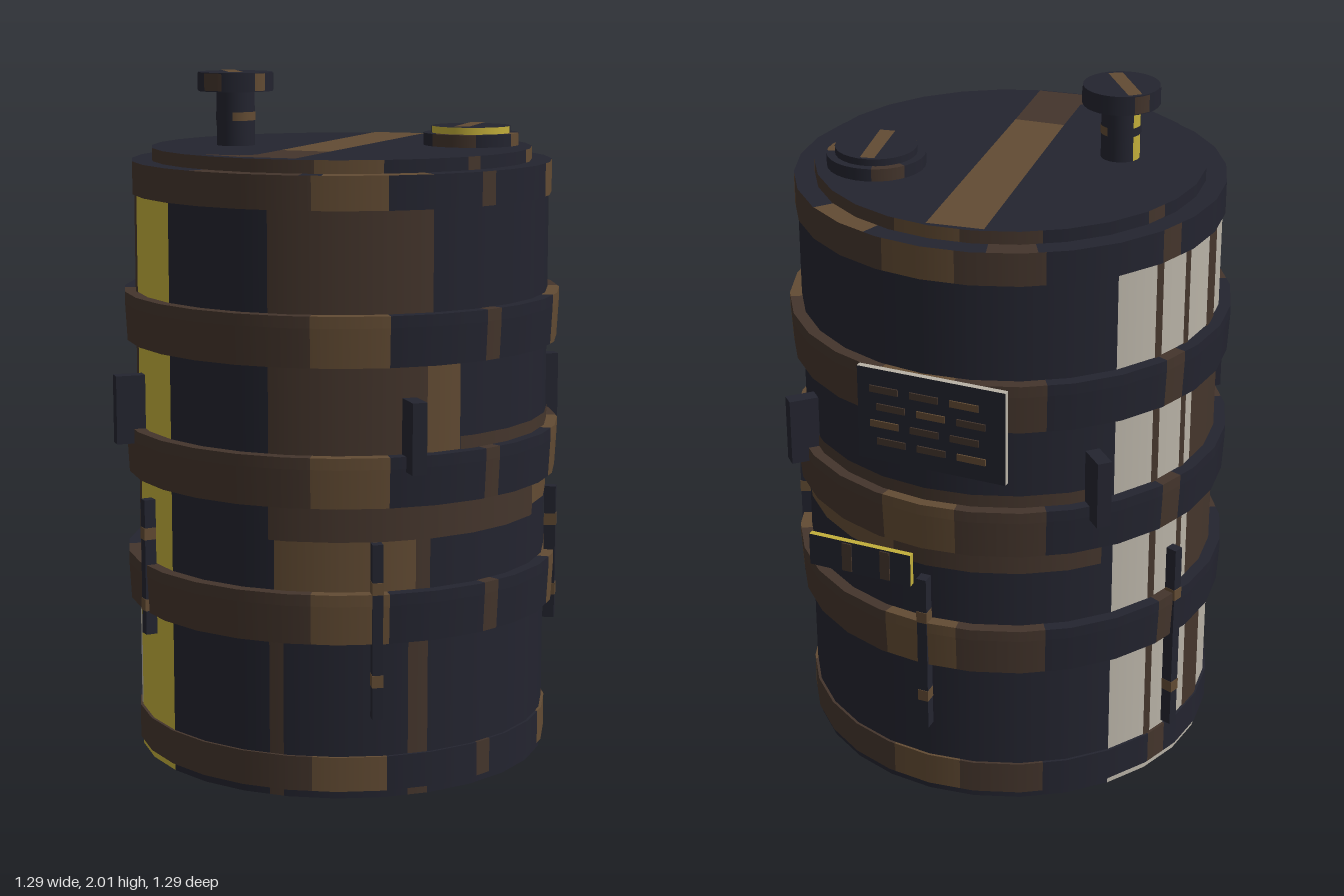
import * as THREE from 'three';

const mat = (name, color, side = THREE.FrontSide) => {
  const m = new THREE.MeshStandardMaterial({ color, side });
  m.name = name;
  return m;
};
const SIDES = 28;
const RAD = Math.PI / 180;

export function createModel() {
  const model = new THREE.Group();
  model.name = 'drum';
  const M = {
    navy: mat('navy', 0x23242f),
    brown: mat('darkBrown', 0x44352c),
    tan: mat('lightBrown', 0x624b33),
    yellow: mat('yellow', 0xc2ae3a),
    grey: mat('paleGrey', 0xb8b2a6),
  };

  // Sweep a (radius, height) profile round y between two headings (degrees from +z towards +x)
  function sweep(profile, a0, a1) {
    const step = 360 / SIDES, angles = [a0];
    for (let k = Math.floor(a0 / step) + 1; k * step < a1 - 1e-6; k++) angles.push(k * step);
    angles.push(a1);
    const pos = [], nor = [], idx = [];
    for (let s = 0; s + 1 < profile.length; s++) {
      const [r0, y0] = profile[s], [r1, y1] = profile[s + 1];
      const len = Math.hypot(r1 - r0, y1 - y0), nr = (y1 - y0) / len, ny = (r0 - r1) / len;
      const base = pos.length / 3;
      angles.forEach((a, i) => {
        const local = a - Math.floor(a / step + 1e-9) * step - step / 2;
        const k = Math.cos(step / 2 * RAD) / Math.cos(local * RAD);
        const sx = Math.sin(a * RAD), cz = Math.cos(a * RAD);
        pos.push(sx * r0 * k, y0, cz * r0 * k, sx * r1 * k, y1, cz * r1 * k);
        nor.push(sx * nr, ny, cz * nr, sx * nr, ny, cz * nr);
        if (i) {
          const p = base + 2 * (i - 1);
          idx.push(p, p + 2, p + 3, p, p + 3, p + 1);
        }
      });
    }
    const g = new THREE.BufferGeometry();
    g.setAttribute('position', new THREE.Float32BufferAttribute(pos, 3));
    g.setAttribute('normal', new THREE.Float32BufferAttribute(nor, 3));
    g.setIndex(idx);
    return g;
  }

  const add = (parent, name, geometry, material) => {
    const m = new THREE.Mesh(geometry, material);
    m.name = name;
    parent.add(m);
    return m;
  };

  // Full turn of a profile, coloured by [start heading, colour] entries
  function turn(name, profile, colours, x = 0, z = 0) {
    const g = new THREE.Group();
    g.name = name;
    g.position.set(x, 0, z);
    colours.forEach(([a, c], i) => {
      const end = i + 1 < colours.length ? colours[i + 1][0] : colours[0][0] + 360;
      add(g, name + 'Part', sweep(profile, a, end), M[c]);
    });
    model.add(g);
  }
  const patch = (c, y0, y1, a0, a1, r = 0.611) =>
    add(model, 'paintPatch', sweep([[r, y0], [r, y1]], a0, a1), M[c]);

  // Drum wall, one section between each pair of hoops
  const R = 0.608;
  const wall = (y0, y1, colours) => turn('wall', [[R, y0], [R, y1]], colours);
  wall(0, 0.5, [[-128.6, 'grey'], [-77, 'yellow'], [-25.7, 'navy'], [7.5, 'brown'], [11.5, 'navy'],
    [45, 'brown'], [50.5, 'navy']]);
  wall(0.5, 0.9, [[-128.6, 'grey'], [-99, 'brown'], [-49, 'yellow'], [-25.7, 'navy'], [9, 'tan'],
    [47, 'brown'], [51, 'navy']]);
  wall(0.9, 1.3, [[-128.6, 'grey'], [-99, 'brown'], [-77, 'yellow'], [-25.7, 'navy'], [7.5, 'brown'],
    [50, 'tan'], [60, 'navy']]);
  wall(1.3, 1.75, [[-128.6, 'grey'], [-77, 'yellow'], [-25.7, 'navy'], [7.5, 'brown'], [51.4, 'navy']]);

  // Weathered stripes on the wall
  patch('brown', 1.37, 1.655, -54, -49);
  patch('brown', 0.98, 1.23, -54, -49);
  patch('grey', 0.13, 0.43, -52, -50);
  patch('brown', 0.74, 0.84, 7.5, 92);
  patch('tan', 0.77, 0.84, 92, 170);
  patch('brown', 0.77, 0.84, 170, 228);
  patch('brown', 0.98, 1.02, 60, 228);
  for (const [y0, y1] of [[0.12, 0.455], [0.6, 0.84], [0.98, 1.23], [1.37, 1.655]]) {
    patch('brown', y0, y1, -116.5, -114);
    patch('brown', y0, y1, -105, -103);
  }
  patch('brown', 1.37, 1.655, -92, -85);
  patch('brown', 0.12, 0.455, -98, -88);

  // Hoops and end rims
  const hoopPaint = [[-60, 'brown'], [19.3, 'tan'], [39, 'navy'], [66, 'brown'], [71, 'navy'],
    [99, 'tan'], [118, 'brown'], [169, 'tan'], [189, 'brown'], [212, 'navy'], [245, 'brown'], [252, 'navy']];
  for (const y of [0.455, 0.84, 1.23])
    turn('hoop', [[0.6, y], [0.637, y], [0.643, y + 0.11], [0.643, y + 0.143], [0.6, y + 0.143]], hoopPaint);
  turn('bottomRim', [[0.6, 0.022], [0.616, 0.022], [0.616, 0.122], [0.6, 0.122]], hoopPaint);
  turn('topRim', [[0.6, 1.655], [0.616, 1.655], [0.616, 1.75]], hoopPaint);
  turn('topRimFace', [[0.616, 1.75], [0.55, 1.75]], [[-16, 'brown'], [16, 'navy'], [22, 'tan'], [51, 'navy'],
    [142, 'tan'], [163, 'navy'], [197, 'brown'], [210, 'navy']]);

  // Lid and base
  turn('lidEdge', [[0.557, 1.745], [0.557, 1.787]], hoopPaint);
  turn('lid', [[0.557, 1.787], [0, 1.787]], [[0, 'navy']]);
  turn('base', [[0, 0], [R, 0]], [[0, 'navy']]);

  // Flat painted shape lying at height y, corners given as x, z
  function decal(name, points, y, material, down = false) {
    const s = new THREE.Shape(points.map(([x, z]) => new THREE.Vector2(x, down ? z : -z)));
    const m = add(model, name, new THREE.ShapeGeometry(s), material);
    m.rotation.x = down ? Math.PI / 2 : -Math.PI / 2;
    m.position.y = y;
  }
  decal('lidStripe', [[-0.15, -0.53], [0.01, -0.55], [0.1, 0.27], [-0.05, 0.28]], 1.79, M.tan);
  decal('lidStripeEnd', [[-0.05, 0.28], [0.1, 0.27], [0.13, 0.53], [-0.04, 0.55], [-0.18, 0.52],
    [-0.06, 0.5], [-0.03, 0.46]], 1.79, M.brown);
  decal('baseStripe', [[-0.09, -0.58], [0.09, -0.58], [0.09, 0.58], [-0.09, 0.58]], -0.002, M.brown, true);
  decal('basePatch', [[-0.1, -0.1], [0.25, -0.1], [0.25, 0.2], [-0.1, 0.2]], -0.003, M.tan, true);

  // Filler cap
  const cx = 0.323, cz = -0.205;
  turn('capBase', [[0.14, 1.78], [0.14, 1.823], [0, 1.823]], [[-30, 'brown'], [30, 'navy'], [80, 'tan'],
    [110, 'navy'], [200, 'brown'], [240, 'navy']], cx, cz);
  turn('capEdge', [[0.116, 1.82], [0.116, 1.843]], [[-60, 'yellow'], [100, 'navy']], cx, cz);
  turn('capTop', [[0.116, 1.843], [0, 1.843]], [[0, 'navy']], cx, cz);
  decal('capStripe', [[0.278, -0.31], [0.318, -0.318], [0.362, -0.1], [0.318, -0.092]], 1.846, M.tan);

  // Knob on its stem
  const kx = -0.286, kz = 0.122;
  turn('knobStem', [[0.056, 1.78], [0.056, 1.95]], [[-120, 'yellow'], [-80, 'navy']], kx, kz);
  turn('stemBand', [[0.058, 1.86], [0.058, 1.885]], [[20, 'tan'], [160, 'navy']], kx, kz);
  turn('knob', [[0, 1.945], [0.109, 1.945], [0.109, 2], [0, 2]], [[0, 'navy']], kx, kz);
  turn('knobEdgePaint', [[0.111, 1.948], [0.111, 1.998]], [[-25, 'brown'], [8, 'navy'], [60, 'tan'],
    [80, 'navy'], [220, 'brown'], [245, 'navy']], kx, kz);
  decal('knobStripe', [[-0.37, 0.06], [-0.34, 0.033], [-0.22, 0.188], [-0.255, 0.21]], 2.002, M.tan);

  // Box set upright against the wall at a heading
  function wallBox(name, heading, r, w, h, d, y, material) {
    const m = add(model, name, new THREE.BoxGeometry(w, h, d), material);
    m.position.set(Math.sin(heading * RAD) * r, y, Math.cos(heading * RAD) * r);
    m.rotation.y = heading * RAD;
  }
  for (const a of [45, 135, 225, 315]) wallBox('lug', a, 0.645, 0.042, 0.2, 0.09, 1.04, M.navy);

  // Thin vertical drips
  for (const [a, y0, y1] of [[36, 0.24, 0.74], [108, 0.39, 0.79], [180, 0.24, 0.74], [252, 0.14, 0.74], [324, 0.39, 0.79]]) {
    wallBox('drip', a, 0.627, 0.03, y1 - y0, 0.034, (y0 + y1) / 2, M.navy);
    for (const t of [0.22, 0.75])
      wallBox('dripPaint', a, 0.628, 0.032, 0.035, 0.036, y0 + (y1 - y0) * t, M.tan);
  }

  // Back plates with coloured edges and a dark outer face
  function plate(name, x0, x1, y0, y1, z, edge) {
    const mats = [edge, edge, edge, edge, edge, M.navy];
    const m = add(model, name, new THREE.BoxGeometry(x1 - x0, y1 - y0, 0.018), mats);
    m.position.set((x0 + x1) / 2, (y0 + y1) / 2, z);
  }
  plate('largePlate', -0.26, 0.18, 1.1, 1.38, -0.636, M.grey);
  plate('smallPlate', 0.04, 0.36, 0.7, 0.8, -0.619, M.yellow);
  const strip = (name, x, y, w, h, z, m) =>
    add(model, name, new THREE.BoxGeometry(w, h, 0.006), m).position.set(x, y, z);
  for (let row = 0; row < 4; row++)
    for (let k = 0; k < 3; k++)
      strip('plateRidge', -0.16 + k * 0.12 + (row % 2) * 0.02, 1.16 + row * 0.053, 0.085, 0.02, -0.646,
        (row + k) % 3 ? M.brown : M.tan);
  for (const x of [0.12, 0.24]) strip('plateMark', x, 0.75, 0.03, 0.09, -0.629, M.brown);

  return model;
}
